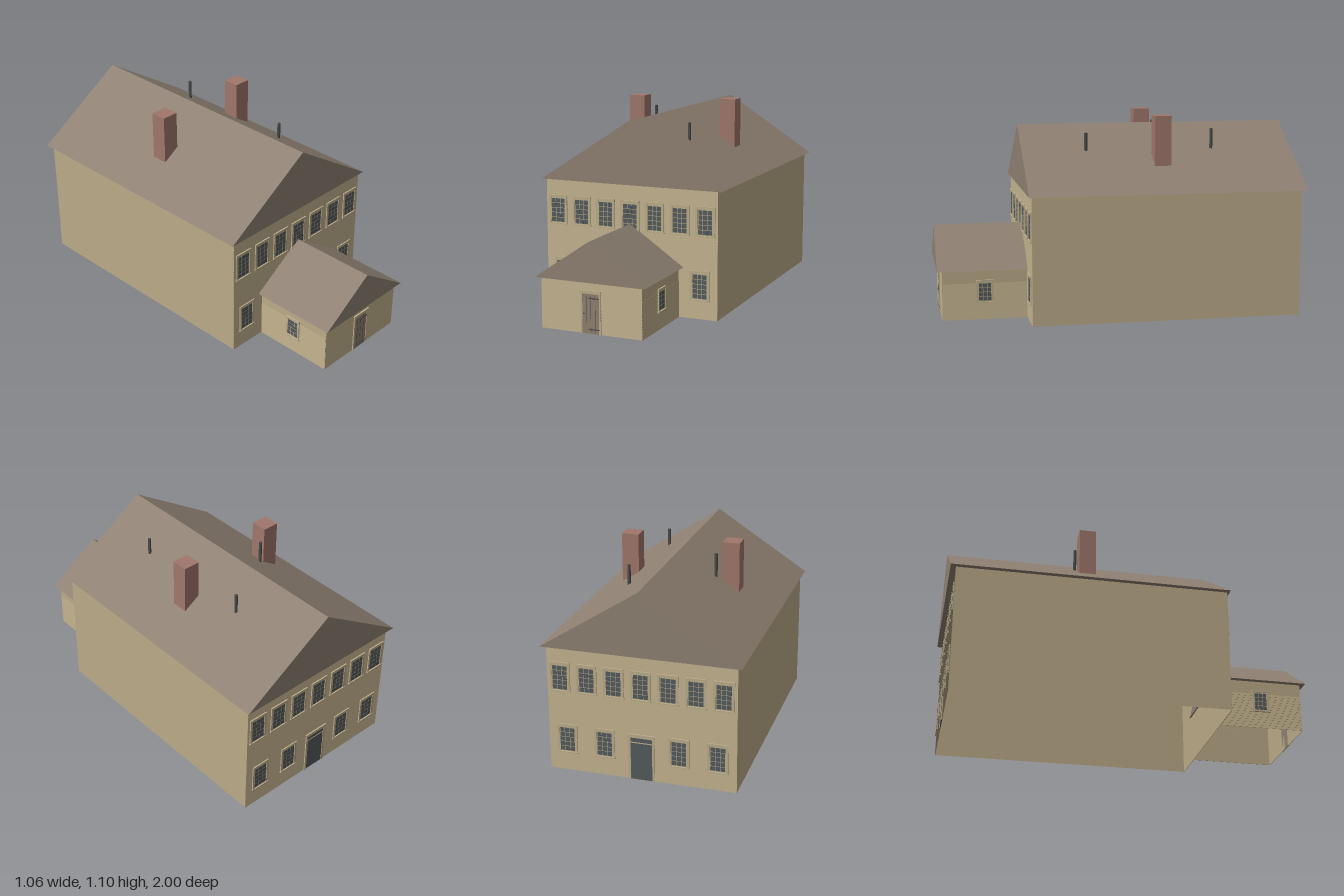
import * as THREE from 'three';

const make = (name, color, side = THREE.FrontSide) => {
  const m = new THREE.MeshStandardMaterial({ color, side });
  m.name = name;
  return m;
};

export function createModel() {
  const wallMat = make('beige clapboard', 0xbbab88, THREE.DoubleSide);
  const trimMat = make('beige trim', 0xbdae8b);
  const roofMat = make('brown roof', 0x8f8173);
  const doorMat = make('brown door', 0x8e8070);
  const brickMat = make('brick', 0xa0776a);
  const ironMat = make('dark iron', 0x4a4d4c);
  const glassMat = make('window glass', 0x555b5d);

  const model = new THREE.Group();
  model.name = 'house';

  const add = (parent, name, geo, mat) => {
    const mesh = new THREE.Mesh(geo, mat);
    mesh.name = name;
    parent.add(mesh);
    return mesh;
  };
  // Box given by its extents
  const box = (parent, name, mat, x0, x1, y0, y1, z0, z1) => {
    const geo = new THREE.BoxGeometry(x1 - x0, y1 - y0, z1 - z0);
    geo.translate((x0 + x1) / 2, (y0 + y1) / 2, (z0 + z1) / 2);
    return add(parent, name, geo, mat);
  };
  // Wall shell, open underneath
  const shell = (name, halfW, h, z0, z1) => {
    const mesh = box(model, name, wallMat, -halfW, halfW, 0, h, z0, z1);
    const idx = Array.from(mesh.geometry.index.array);
    idx.splice(18, 6);
    mesh.geometry.setIndex(idx);
    mesh.geometry.clearGroups();
  };
  // Solid gabled roof
  const gableRoof = (name, halfW, eave, ridge, z0, z1) => {
    const s = new THREE.Shape([
      new THREE.Vector2(-halfW, eave), new THREE.Vector2(halfW, eave), new THREE.Vector2(0, ridge),
    ]);
    const geo = new THREE.ExtrudeGeometry(s, { depth: z1 - z0, bevelEnabled: false });
    add(model, name, geo.translate(0, 0, z0), roofMat);
  };
  // A facade is a group whose local +z points out of the wall
  const facade = (name, x, z, turn) => {
    const g = new THREE.Group();
    g.name = name;
    g.position.set(x, 0, z);
    g.rotation.y = turn;
    model.add(g);
    return g;
  };
  // Overlapping boards as one sawtooth profile swept along the wall
  const siding = (parent, width, height) => {
    const rows = Math.round(height / 0.016), pitch = height / rows;
    const pts = [new THREE.Vector2(0, 0)];
    for (let i = 0; i < rows; i++) {
      pts.push(new THREE.Vector2(0.0028, i * pitch), new THREE.Vector2(0.0006, (i + 1) * pitch));
    }
    pts.push(new THREE.Vector2(0, height));
    const geo = new THREE.ExtrudeGeometry(new THREE.Shape(pts), { depth: width, bevelEnabled: false });
    geo.rotateY(-Math.PI / 2).translate(width / 2, 0, 0);
    // after the turn the profile depth runs along +z
    add(parent, 'siding', geo, wallMat);
  };
  const windowUnit = (parent, cx, y0, w, h, rows) => {
    const g = new THREE.Group();
    g.name = 'window';
    g.position.set(cx, y0, 0);
    parent.add(g);
    const a = w / 2, c = w * 0.12;
    box(g, 'sash', trimMat, -a + c, a - c, 0.008, h - c, 0, 0.005);
    for (const s of [-1, 1]) {
      const inner = s * (a - c), outer = s * a;
      box(g, 'sideCasing', trimMat, Math.min(inner, outer), Math.max(inner, outer), 0.007, h - c, 0, 0.008);
    }
    box(g, 'topCasing', trimMat, -a, a, h - c, h, 0, 0.009);
    box(g, 'sill', trimMat, -a - 0.003, a + 0.003, 0, 0.007, 0, 0.011);
    // Three columns of panes
    const gw = w * 0.73, gx = -gw / 2, gy = 0.011, gh = h - c - gy - 0.006;
    const pw = gw / 3, ph = gh / rows, bar = 0.0014;
    for (let i = 0; i < 3; i++) {
      for (let j = 0; j < rows; j++) {
        box(g, 'pane', glassMat, gx + i * pw + bar, gx + (i + 1) * pw - bar,
          gy + j * ph + bar, gy + (j + 1) * ph - bar, 0.004, 0.0056);
      }
    }
  };
  const doorFrame = (g, inner, outer, top, head) => {
    box(g, 'doorPost', trimMat, -outer, -inner, 0, top, 0, 0.008);
    box(g, 'doorPost', trimMat, inner, outer, 0, top, 0, 0.008);
    box(g, 'doorHead', trimMat, -outer, outer, top, head, 0, 0.009);
    box(g, 'doorCap', trimMat, -outer - 0.003, outer + 0.003, head - 0.005, head, 0, 0.011);
  };

  // Main house and front annex
  shell('mainWalls', 0.505, 0.693, -0.97, 0.508);
  gableRoof('mainRoof', 0.53, 0.695, 1.037, -1, 0.525);
  shell('annexWalls', 0.285, 0.271, 0.512, 0.972);
  gableRoof('annexRoof', 0.311, 0.272, 0.483, 0.5, 1);

  // Long rows of windows front and back
  const front = facade('frontFacade', 0, 0.508, 0);
  const back = facade('backFacade', 0, -0.97, Math.PI);
  for (const f of [front, back]) {
    siding(f, 1.01, 0.692);
    for (let i = -3; i <= 3; i++) windowUnit(f, i * 0.145, 0.447, 0.11, 0.163, 5);
    for (const s of [-1, 1]) windowUnit(f, s * 0.405, 0.1, 0.11, 0.163, 5);
  }
  for (const s of [-1, 1]) windowUnit(back, s * 0.2, 0.1, 0.11, 0.163, 5);

  // Back door with a transom
  doorFrame(back, 0.058, 0.071, 0.238, 0.258);
  box(back, 'backDoor', glassMat, -0.058, 0.058, 0, 0.238, 0, 0.005);
  box(back, 'transomBar', trimMat, -0.058, 0.058, 0.208, 0.213, 0, 0.007);

  // Annex siding and side windows
  const porch = facade('annexFront', 0, 0.972, 0);
  siding(porch, 0.57, 0.27);
  for (const s of [-1, 1]) {
    const side = facade(s > 0 ? 'annexLeft' : 'annexRight', s * 0.285, 0.742, s * Math.PI / 2);
    siding(side, 0.46, 0.2);
    windowUnit(side, 0, 0.092, 0.094, 0.126, 4);
  }

  // Plank door with strap hinges and a handle
  doorFrame(porch, 0.047, 0.057, 0.21, 0.228);
  box(porch, 'frontDoor', doorMat, -0.047, 0.047, 0, 0.21, 0, 0.005);
  for (const x of [-0.026, 0, 0.024]) {
    box(porch, 'plankGap', ironMat, x - 0.001, x + 0.001, 0.012, 0.2, 0.004, 0.0054);
  }
  for (const y of [0.024, 0.187]) {
    box(porch, 'strapHinge', ironMat, -0.012, 0.048, y - 0.0025, y + 0.0025, 0.004, 0.0085);
  }
  box(porch, 'doorHandle', ironMat, -0.042, -0.036, 0.102, 0.108, 0.004, 0.012);

  // Chimneys and vent pipes
  for (const s of [-1, 1]) {
    const mid = s * 0.283;
    box(model, 'chimney', brickMat, mid - 0.047, mid + 0.047, 0.76, 1.097, -0.283, -0.191);
  }
  for (const [x, z, top] of [[-0.203, -0.29, 1.033], [0.202, -0.54, 1.014], [0.202, 0.17, 1.0]]) {
    const geo = new THREE.CylinderGeometry(0.0088, 0.0088, top - 0.86, 10);
    add(model, 'ventPipe', geo.translate(x, (top + 0.86) / 2, z), ironMat);
  }
  return model;
}
